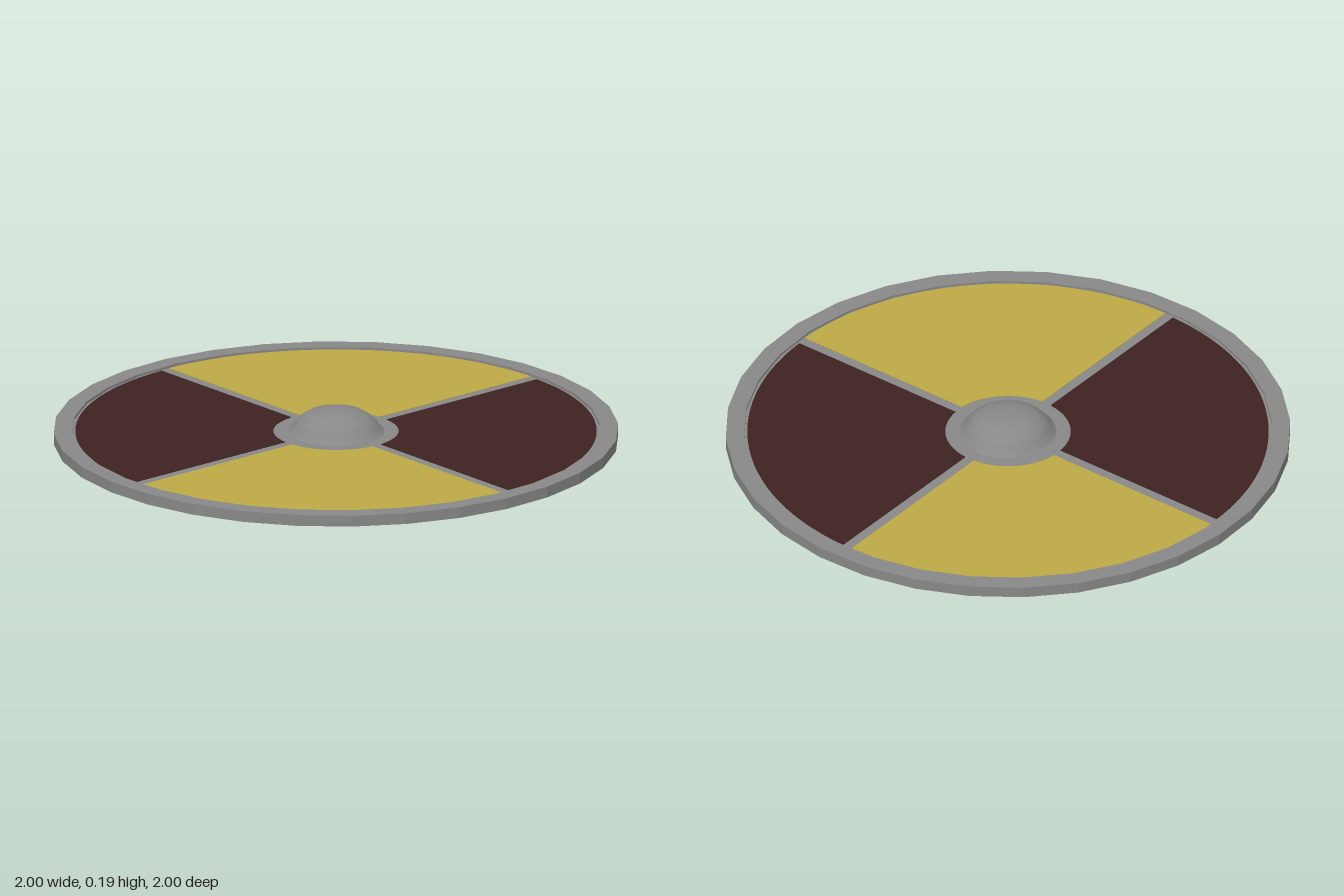
import * as THREE from 'three';

const mat = (name, color, extra = {}) => {
  const m = new THREE.MeshStandardMaterial({ color, ...extra });
  m.name = name;
  return m;
};

export function createModel() {
  const group = new THREE.Group();
  const steel = mat('steel', 0x888888);
  const steelFlat = steel.clone();
  steelFlat.flatShading = true;
  const yellow = mat('yellow paint', 0xbca946);
  const red = mat('dark red paint', 0x3f2222);
  const wood = mat('dark wood', 0x50463a);
  const leather = mat('dark leather', 0x3a3027, { side: THREE.DoubleSide });
  const brass = mat('dull brass', 0x8a8168);

  const add = (name, geometry, material, parent = group) => {
    const mesh = new THREE.Mesh(geometry, material);
    mesh.name = name;
    parent.add(mesh);
    return mesh;
  };
  const lathe = (points, segments) =>
    new THREE.LatheGeometry(points.map(([r, y]) => new THREE.Vector2(r, y)), segments);

  // Metal rim, 32 flat sides
  add('rim', lathe([[0.935, 0.075], [1, 0.075], [1, 0.115], [0.935, 0.115], [0.935, 0.075]], 32), steelFlat);

  // Board: wooden back and metal front
  add('boardBack', new THREE.CylinderGeometry(0.937, 0.937, 0.014, 32), wood).position.y = 0.087;
  add('boardFront', new THREE.CylinderGeometry(0.937, 0.937, 0.012, 32), steel).position.y = 0.1;

  // Four painted quarters separated by a metal cross and centre ring
  const gap = 0.019, inner = 0.222;
  for (let k = 0; k < 4; k++) {
    const outer = k % 2 ? 0.928 : 0.922;
    const a0 = THREE.MathUtils.degToRad(-18.8 + 90 * k), a1 = a0 + Math.PI / 2;
    const dOut = Math.asin(gap / outer), dIn = Math.asin(gap / inner);
    const shape = new THREE.Shape();
    shape.absarc(0, 0, outer, a0 + dOut, a1 - dOut, false);
    shape.absarc(0, 0, inner, a1 - dIn, a0 + dIn, true);
    const panel = new THREE.ExtrudeGeometry(shape, { depth: 0.003, bevelEnabled: false, curveSegments: 24 });
    panel.rotateX(-Math.PI / 2);
    add('paintedQuarter' + (k + 1), panel, k % 2 ? yellow : red).position.y = 0.105;
  }

  // Central domed boss
  add('boss', lathe([[0.172, 0.104], [0.17, 0.109], [0.158, 0.116], [0.148, 0.135], [0.128, 0.155],
    [0.1, 0.173], [0.06, 0.184], [0.03, 0.187], [0, 0.187]], 32), steel);

  // Sagging leather grip strap on the back
  const sag = [[-0.36, 0.072], [-0.33, 0.066], [-0.23, 0.027], [-0.11, 0.008], [0, 0.006],
    [0.11, 0.008], [0.23, 0.027], [0.33, 0.066], [0.36, 0.072]];
  const strap = new THREE.BoxGeometry(0.076, 0.005, 1, 1, 1, sag.length - 1);
  const pos = strap.attributes.position;
  for (let i = 0; i < pos.count; i++) {
    const [z, y] = sag[Math.round((pos.getZ(i) + 0.5) * (sag.length - 1))];
    const drift = 0.015 * (0.072 - y) / 0.066;
    pos.setXYZ(i, pos.getX(i) + drift, y + pos.getY(i) - 0.0025, z);
  }
  strap.computeVertexNormals();
  add('gripStrap', strap, leather);

  // Plate and rivet at each end of the strap
  for (const side of [-1, 1]) {
    const anchor = new THREE.Group();
    anchor.name = side > 0 ? 'frontStrapAnchor' : 'rearStrapAnchor';
    anchor.position.z = side * 0.39;
    add('plate', new THREE.BoxGeometry(0.1, 0.016, 0.105), brass, anchor).position.y = 0.073;
    add('rivet', new THREE.CylinderGeometry(0.029, 0.02, 0.02, 12), steel, anchor).position.y = 0.056;
    group.add(anchor);
  }
  return group;
}
